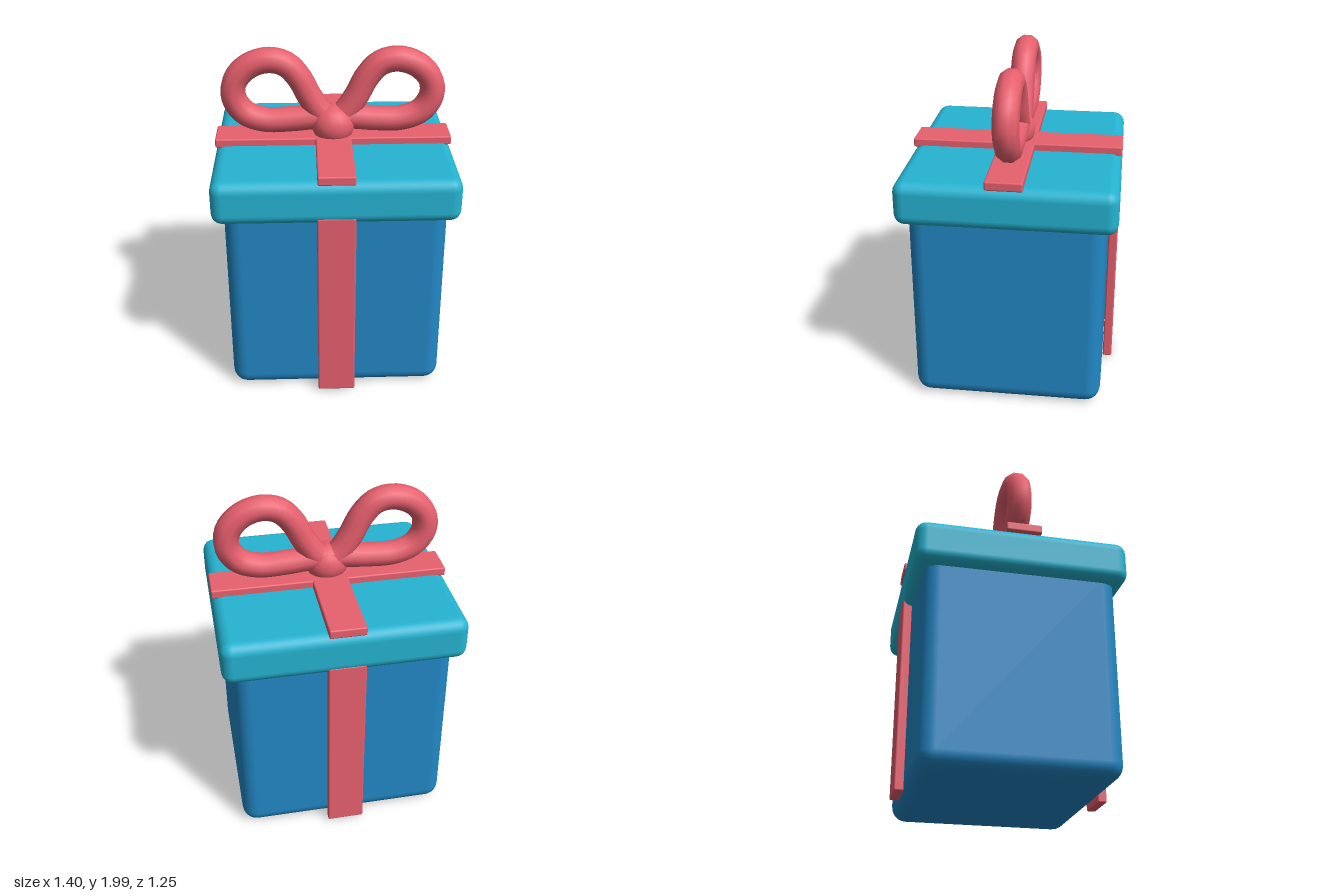
import * as THREE from 'three';
import { RoundedBoxGeometry } from 'three/addons/geometries/RoundedBoxGeometry.js';

const mat = (color) => new THREE.MeshStandardMaterial({ color });

export function createModel() {
  const model = new THREE.Group();
  model.name = 'giftBox';
  const blue = mat(0x2288c6), teal = mat(0x25b4d2), red = mat(0xe8606e);

  const add = (name, geometry, material, x = 0, y = 0, z = 0) => {
    const mesh = new THREE.Mesh(geometry, material);
    mesh.name = name;
    mesh.position.set(x, y, z);
    model.add(mesh);
    return mesh;
  };
  const block = (name, size, radius, material, x, y, z) =>
    add(name, new RoundedBoxGeometry(...size, 3, radius), material, x, y, z);

  // Box and overhanging lid
  block('box', [1.27, 1.28, 1.125], 0.09, blue, 0, 0.645, 0);
  block('lid', [1.4, 0.26, 1.25], 0.065, teal, 0, 1.302, 0);

  // Ribbons down the front and back
  for (const [side, s] of [['front', 1], ['back', -1]]) {
    block(side + 'Ribbon', [0.22, 1.2, 0.056], 0.01, red, 0, 0.615, s * 0.594);
  }

  // Crossed ribbons on the lid
  block('lidRibbonAcross', [1.4, 0.054, 0.212], 0.01, red, 0, 1.448, 0);
  block('lidRibbonLengthwise', [0.212, 0.054, 1.25], 0.01, red, 0, 1.448, 0);

  // Bow loops, mirrored left and right
  const path = [
    [0.0, 1.55], [0.07, 1.6], [0.135, 1.695], [0.2, 1.82], [0.275, 1.9], [0.375, 1.925],
    [0.49, 1.89], [0.57, 1.805], [0.583, 1.7], [0.525, 1.605], [0.41, 1.558],
    [0.25, 1.558], [0.12, 1.57], [0.0, 1.58],
  ];
  for (const [side, s] of [['left', 1], ['right', -1]]) {
    const curve = new THREE.CatmullRomCurve3(path.map(([x, y]) => new THREE.Vector3(s * x, y, 0)));
    add(side + 'BowLoop', new THREE.TubeGeometry(curve, 48, 0.075, 10), red);
  }

  // Knot
  const knot = add('knot', new THREE.SphereGeometry(0.12, 16, 12), red, 0, 1.53, 0.02);
  knot.scale.set(1.08, 1, 0.98);

  return model;
}
